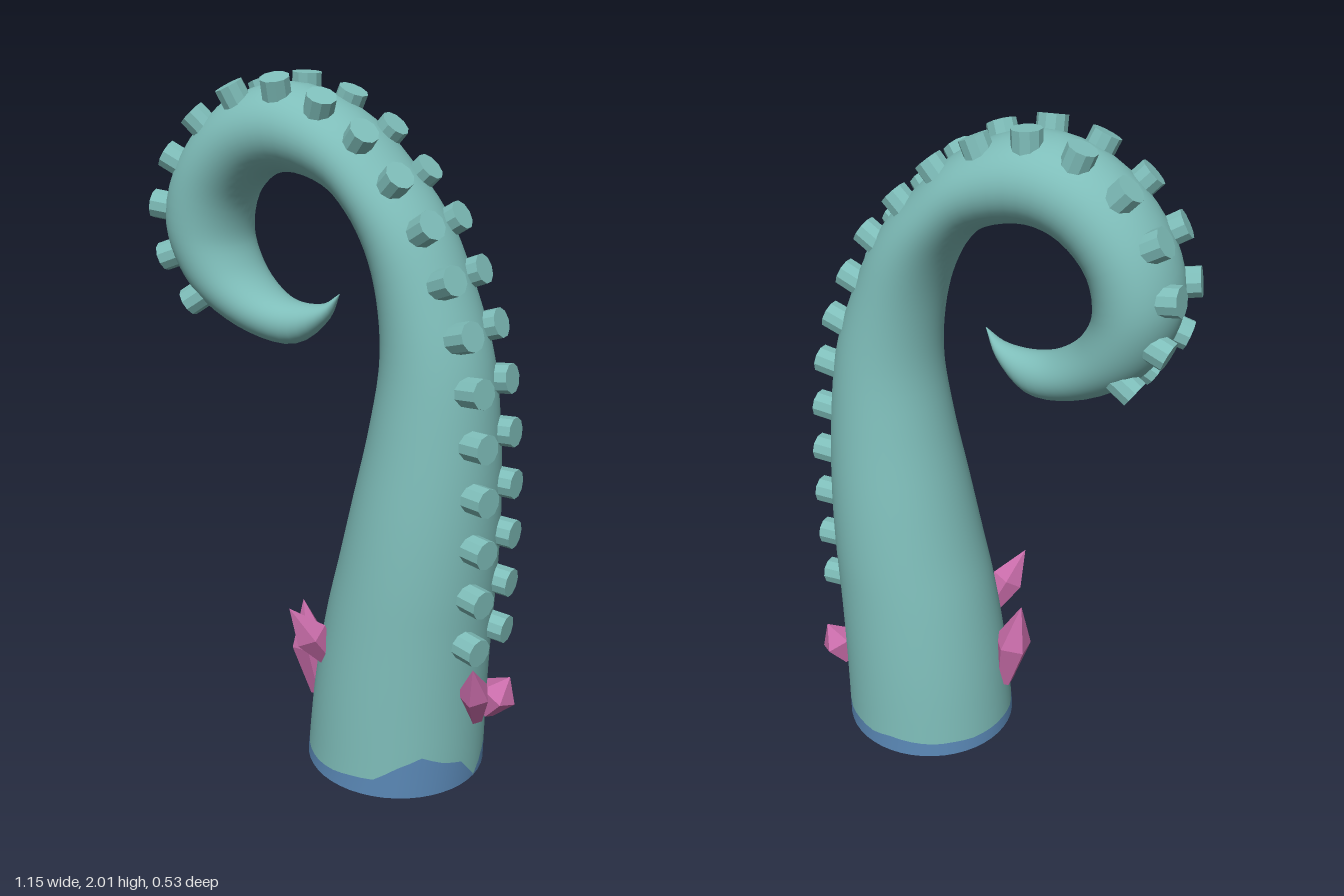
import * as THREE from 'three';

const V = (x, y, z = 0) => new THREE.Vector3(x, y, z);

// Stations along the limb: inner x, y, outer x, y, half width in z
const STATIONS = [
  [-0.055, 0, 0.48, 0, 0.265],
  [-0.03, 0.25, 0.485, 0.25, 0.257],
  [0.01, 0.49, 0.495, 0.475, 0.245],
  [0.05, 0.66, 0.505, 0.64, 0.235],
  [0.09, 0.84, 0.51, 0.83, 0.218],
  [0.14, 1.07, 0.503, 1.05, 0.19],
  [0.167, 1.26, 0.475, 1.28, 0.166],
  [0.156, 1.42, 0.41, 1.47, 0.153],
  [0.125, 1.54, 0.325, 1.645, 0.15],
  [0.075, 1.635, 0.205, 1.785, 0.15],
  [0.005, 1.7, 0.06, 1.91, 0.15],
  [-0.135, 1.735, -0.15, 1.978, 0.15],
  [-0.23, 1.71, -0.35, 1.92, 0.15],
  [-0.305, 1.635, -0.505, 1.76, 0.15],
  [-0.325, 1.53, -0.56, 1.59, 0.148],
  [-0.295, 1.455, -0.53, 1.455, 0.138],
  [-0.25, 1.405, -0.45, 1.345, 0.122],
  [-0.19, 1.37, -0.29, 1.255, 0.095],
  [-0.125, 1.36, -0.14, 1.238, 0.065],
  [-0.045, 1.37, -0.035, 1.32, 0.03],
  [0.006, 1.405, 0.007, 1.404, 0.001],
];
const inner = new THREE.CatmullRomCurve3(STATIONS.map((s) => V(s[0], s[1])));
const outer = new THREE.CatmullRomCurve3(STATIONS.map((s) => V(s[2], s[3], s[4])));

// Height of the stained band, every 15 degrees from +x towards +z
const STAIN = [0.003, 0.08, 0.1, 0.13, 0.1, 0.055, 0.05, 0.04, 0.035, 0.035, 0.035, 0.035,
  0.04, 0.04, 0.04, 0.045, 0.045, 0.05, 0.055, 0.045, 0.05, 0.05, 0.07, 0.055];
const SIDES = 48;

function stainTop(j) {
  const f = (j / SIDES) * STAIN.length;
  const k = Math.floor(f) % STAIN.length;
  const h = THREE.MathUtils.lerp(STAIN[k], STAIN[(k + 1) % STAIN.length], f % 1);
  return h / 0.25 / (STATIONS.length - 1);
}

// Elliptical tube; range(j) gives the start and end along the limb for each side
function limbGeometry(rows, range) {
  const pos = [], index = [];
  for (let i = 0; i <= rows; i++) {
    for (let j = 0; j < SIDES; j++) {
      const [v0, v1] = range(j);
      const v = THREE.MathUtils.lerp(v0, v1, i / rows);
      const a = inner.getPoint(v), b = outer.getPoint(v);
      const t = (j / SIDES) * Math.PI * 2;
      const k = 0.5 + 0.5 * Math.cos(t);
      pos.push(a.x + (b.x - a.x) * k, a.y + (b.y - a.y) * k, b.z * Math.sin(t));
      if (i < rows) {
        const n = (j + 1) % SIDES, r0 = i * SIDES, r1 = r0 + SIDES;
        index.push(r0 + j, r1 + j, r0 + n, r1 + j, r1 + n, r0 + n);
      }
    }
  }
  const g = new THREE.BufferGeometry();
  g.setAttribute('position', new THREE.Float32BufferAttribute(pos, 3));
  g.setIndex(index);
  g.computeVertexNormals();
  return g;
}

function faceted(geometry) {
  const g = geometry.toNonIndexed();
  g.computeVertexNormals();
  return g;
}

export function createModel() {
  const group = new THREE.Group();
  const skin = new THREE.MeshStandardMaterial({ name: 'teal skin', color: 0x7ebdb9, side: THREE.DoubleSide });
  const stain = new THREE.MeshStandardMaterial({ name: 'blue stain', color: 0x5a88b6, side: THREE.DoubleSide });
  const pink = new THREE.MeshStandardMaterial({ name: 'pink crystal', color: 0xc86ca9 });

  const add = (name, geometry, material) => {
    const m = new THREE.Mesh(geometry, material);
    m.name = name;
    group.add(m);
    return m;
  };
  const up = V(0, 1, 0);

  // Curled limb and the wavy band at its open foot
  add('tentacle', limbGeometry(80, (j) => [stainTop(j), 1]), skin);
  add('baseStain', limbGeometry(2, (j) => [0, stainTop(j)]), stain);

  // Two rows of suckers along the outer edge
  const edge = new THREE.CatmullRomCurve3(STATIONS.slice(2, 17).map((s) => V(s[2], s[3])));
  const suckerGeo = faceted(new THREE.CylinderGeometry(0.042, 0.042, 0.08, 10));
  const COUNT = 19;
  for (let i = 0; i < COUNT; i++) {
    const u = i / (COUNT - 1);
    const p = edge.getPointAt(u), t = edge.getTangentAt(u);
    const out = V(t.y, -t.x);
    const lift = THREE.MathUtils.lerp(0.042, 0.022, Math.min(1, u * 1.6)) - 0.04;
    for (const [name, z, tilt] of [
      ['suckerFront', THREE.MathUtils.lerp(0.095, 0.075, u), 0.28],
      ['suckerBack', -0.065, 0],
    ]) {
      const m = add(name, suckerGeo, skin);
      m.position.copy(p).addScaledVector(out, lift);
      m.position.z = z;
      m.quaternion.setFromUnitVectors(up, out.clone().add(V(0, 0, tilt)).normalize());
    }
  }

  // Crystals growing near the foot: base, tip, radius, spin
  const crystals = [
    [V(-0.025, 0.13, 0.05), V(-0.087, 0.45, 0.055), 0.06, 0.4],
    [V(0.08, 0.32, 0.14), V(-0.005, 0.525, 0.25), 0.052, 0.9],
    [V(0.475, 0.18, -0.01), V(0.522, 0.42, 0.115), 0.048, 0.2],
    [V(0.46, 0.16, -0.09), V(0.532, 0.29, -0.115), 0.06, 0.6],
  ];
  for (const [base, tip, r, spin] of crystals) {
    const axis = tip.clone().sub(base), len = axis.length();
    const profile = [[0, 0], [0.5, 0.06], [1, 0.55], [0, 1]]
      .map(([x, y]) => new THREE.Vector2(x * r, y * len));
    const m = add('crystal', faceted(new THREE.LatheGeometry(profile, 5, spin)), pink);
    m.position.copy(base);
    m.quaternion.setFromUnitVectors(up, axis.normalize());
  }
  return group;
}
